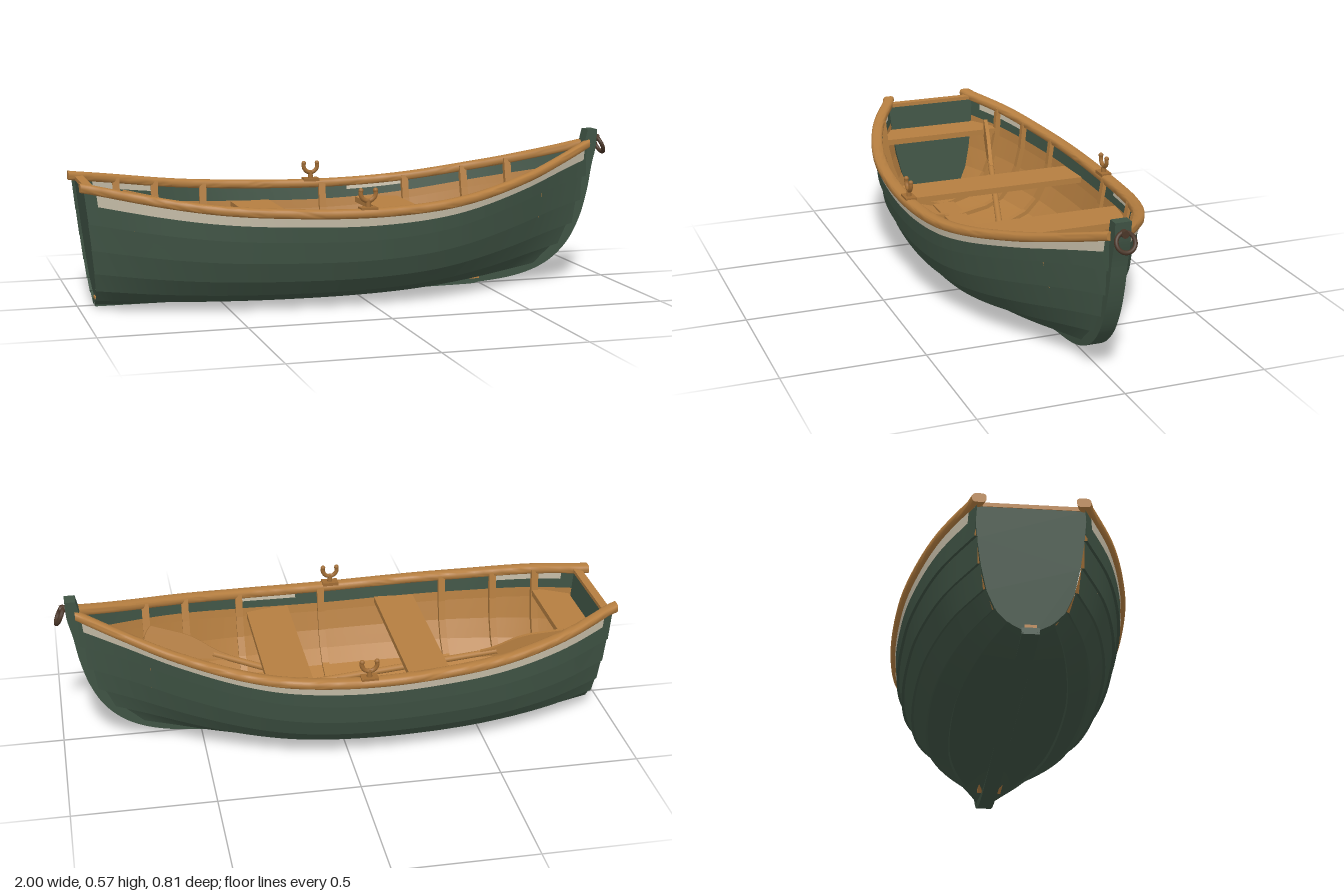
import * as THREE from 'three';
import { toCreasedNormals } from 'three/addons/utils/BufferGeometryUtils.js';

const mat = (name, color, side = THREE.FrontSide) => {
  const m = new THREE.MeshStandardMaterial({ color, side });
  m.name = name;
  return m;
};
const green = mat('green paint', 0x3f5344, THREE.DoubleSide);
const wood = mat('honey wood', 0xb57e40, THREE.DoubleSide);
const cream = mat('cream stripe', 0xc4bba6, THREE.DoubleSide);
const iron = mat('rusty iron', 0x4a3628);
const brass = mat('oarlock bronze', 0xa06c34);

const lerp = THREE.MathUtils.lerp;
const clamp = THREE.MathUtils.clamp;

// smooth curve through [x, value] pairs
function interp(table, x) {
  const n = table.length - 1;
  x = clamp(x, table[0][0], table[n][0]);
  let i = 0;
  while (i < n - 1 && x > table[i + 1][0]) i++;
  const slope = (j) => {
    const a = table[Math.max(0, j - 1)], b = table[Math.min(n, j + 1)];
    return (b[1] - a[1]) / (b[0] - a[0]);
  };
  const [x0, y0] = table[i], [x1, y1] = table[i + 1], h = x1 - x0, u = (x - x0) / h;
  const u2 = u * u, u3 = u2 * u;
  return (2 * u3 - 3 * u2 + 1) * y0 + (u3 - 2 * u2 + u) * h * slope(i)
    + (3 * u2 - 2 * u3) * y1 + (u3 - u2) * h * slope(i + 1);
}

// hull lines: plan width, sheer height, and cross-sections at the plank laps
const BEAM = [[-0.99, 0.17], [-0.8, 0.272], [-0.6, 0.338], [-0.4, 0.374], [-0.1, 0.388],
  [0.2, 0.365], [0.4, 0.312], [0.6, 0.222], [0.8, 0.1], [0.935, 0.016]];
const SHEER = [[-1, 0.455], [-0.6, 0.39], [-0.3, 0.367], [0, 0.36], [0.3, 0.379],
  [0.6, 0.435], [0.8, 0.488], [0.93, 0.528]];
const LAPS = 6;
const MID_Z = [0.06, 0.49, 0.69, 0.82, 0.91, 0.96, 1];
const STERN_Z = [0.1, 0.42, 0.65, 0.82, 0.93, 0.99, 1];
const BOW_Z = [0.12, 0.4, 0.55, 0.68, 0.8, 0.9, 1];
const FRAC_Y = [0.025, 0.085, 0.175, 0.32, 0.51, 0.72, 1];
const BOW_Y = [0.015, 0.07, 0.14, 0.215, 0.3, 0.39, 0.514];
const BOW_X = [0.5, 0.745, 0.83, 0.878, 0.905, 0.922, 0.935];
const sternX = (k) => -0.94 - 0.05 * FRAC_Y[k];

// point on lap k, t = 0 at the stern and 1 at the bow
function lap(t, k) {
  const xs = lerp(sternX(LAPS), BOW_X[LAPS], t);
  const top = interp(SHEER, xs) - 0.014;
  const b = clamp((t - 0.42) / 0.58, 0, 1) ** 2.6;
  const a = clamp(t / 0.35, 0, 1);
  const z = interp(BEAM, xs) * lerp(lerp(STERN_Z[k], MID_Z[k], a), BOW_Z[k], b);
  const y = k === LAPS ? top : lerp(top * FRAC_Y[k], BOW_Y[k], b);
  return new THREE.Vector3(lerp(sternX(k), BOW_X[k], t), y, z);
}

// section through the hull at a given x
function sectionAt(x) {
  const pts = [];
  for (let k = 0; k <= LAPS; k++) {
    const t = (x - sternX(k)) / (BOW_X[k] - sternX(k));
    if (t <= 1) pts.push(lap(Math.max(t, 0), k));
  }
  return pts;
}
function halfWidth(x, y) {
  const p = sectionAt(x);
  let i = 0;
  while (i < p.length - 2 && y > p[i + 1].y) i++;
  return lerp(p[i].z, p[i + 1].z, clamp((y - p[i].y) / (p[i + 1].y - p[i].y), 0, 1));
}

// grid surface from fn(u, v)
function surface(nu, nv, fn) {
  const pos = [], idx = [];
  for (let i = 0; i <= nu; i++) for (let j = 0; j <= nv; j++) pos.push(...fn(i / nu, j / nv).toArray());
  for (let i = 0; i < nu; i++) for (let j = 0; j < nv; j++) {
    const a = i * (nv + 1) + j, b = a + nv + 1;
    idx.push(a, b, a + 1, b, b + 1, a + 1);
  }
  const g = new THREE.BufferGeometry();
  g.setAttribute('position', new THREE.Float32BufferAttribute(pos, 3));
  g.setIndex(idx);
  g.computeVertexNormals();
  return g;
}

// plank k: v runs across it, off pushes it outward
function plankPoint(t, k, v, off, s) {
  const a = lap(t, k), b = lap(t, k + 1);
  const d = new THREE.Vector3(0, b.y - a.y, b.z - a.z).normalize();
  const p = a.lerp(b, v).add(new THREE.Vector3(0, -d.z, d.y).multiplyScalar(off));
  p.z *= s;
  return p;
}

// slab across the boat from [z, y] points
const crossSlab = (pts, depth) => new THREE.ExtrudeGeometry(
  new THREE.Shape(pts.map(([z, y]) => new THREE.Vector2(z, y))), { depth, bevelEnabled: false }).rotateY(Math.PI / 2);
const mirrored = (pts) => [...pts.map(([z, y]) => [-z, y]).reverse(), ...pts];

// slab along the centreline between two [x, y] edges
function spine(outer, inner, width) {
  const v = (list) => list.map(([x, y]) => new THREE.Vector2(x, y));
  const shape = new THREE.Shape().moveTo(...outer[0]);
  shape.splineThru(v(outer.slice(1)));
  shape.lineTo(...inner[0]);
  shape.splineThru(v(inner.slice(1)));
  const g = new THREE.ExtrudeGeometry(shape, { depth: width, bevelEnabled: false, curveSegments: 30 });
  return toCreasedNormals(g.translate(0, 0, -width / 2), 0.6);
}

export function createModel() {
  const boat = new THREE.Group();
  boat.name = 'rowing boat';
  const add = (name, geo, material, parent = boat) => {
    const m = new THREE.Mesh(geo, material);
    m.name = name;
    parent.add(m);
    return m;
  };

  for (const s of [1, -1]) {
    const side = s > 0 ? 'left' : 'right';
    // overlapping planks with a lip along each lower edge, bare wood inside below a painted top band
    const lining = (name, k, [v0, v1], material, [t0, t1] = [0.012, 1], off = -0.012) =>
      add(`${side}${name}`, surface(56, 2, (t, v) => plankPoint(lerp(t0, t1, t), k, lerp(v0, v1, v), off, s)), material);
    for (let k = 0; k < LAPS; k++) {
      add(`${side}Plank${k + 1}`, surface(56, 2, (t, v) => plankPoint(t, k, v, 0.01 * (1 - v), s)), green);
      add(`${side}PlankLip${k + 1}`, surface(56, 1, (t, v) => plankPoint(t, k, 0, lerp(-0.003, 0.01, v), s)), green);
      lining(`InnerPlank${k + 1}`, k, [k ? -0.06 : 0, k < LAPS - 1 ? 1.06 : 0.35], wood);
    }
    lining('InnerBand', LAPS - 1, [0.35, 1], green);
    // cream stripe outside, with short worn lengths inside
    add(`${side}Stripe`, surface(56, 1, (u, v) => {
      const w = lerp(0.54, 0.96, v);
      return plankPoint(lerp(0.02, 0.985, u), LAPS - 1, w, 0.01 * (1 - w) + 0.003, s);
    }), cream);
    for (const span of [[0.04, 0.16], [0.56, 0.68]]) lining('InnerStripe', LAPS - 1, [0.66, 0.86], cream, span, -0.015);
    // gunwale rail with closed ends
    const N = 60;
    const rail = surface(N, 16, (u, v) => {
      const i = Math.round(u * N), t = lerp(-0.006, 0.995, clamp((i - 1) / (N - 2), 0, 1));
      const r = i === 0 || i === N ? 0 : 1, a = v * Math.PI * 2;
      const round = (c) => Math.sign(c) * Math.abs(c) ** 0.6;
      const x = lerp(sternX(LAPS), BOW_X[LAPS], t);
      return new THREE.Vector3(x, interp(SHEER, x) - 0.015 + r * 0.016 * round(Math.sin(a)),
        s * (interp(BEAM, x) - 0.004 + r * 0.023 * round(Math.cos(a))));
    });
    add(`${side}Gunwale`, toCreasedNormals(rail, 0.9), wood);
    // oarlock: plate, pin and horns
    const lock = new THREE.Group();
    lock.name = `${side}Oarlock`;
    lock.position.set(-0.05, 0.36, s * 0.38);
    add('oarlockPlate', new THREE.BoxGeometry(0.06, 0.012, 0.04), brass, lock);
    add('oarlockPin', new THREE.CylinderGeometry(0.008, 0.01, 0.03, 10).translate(0, 0.018, 0), brass, lock);
    add('oarlockHorns', new THREE.TorusGeometry(0.027, 0.008, 8, 18, Math.PI * 1.2)
      .rotateZ(-Math.PI * 1.1).translate(0, 0.054, 0), brass, lock);
    for (const e of [1, -1]) add('oarlockTip', new THREE.SphereGeometry(0.009, 10, 8).translate(e * 0.026, 0.063, 0), brass, lock);
    boat.add(lock);
  }

  // keel and stem in one sweep, with a wooden keelson and apron inside
  const inner = [[0.92, 0.565], [0.905, 0.5], [0.895, 0.43], [0.88, 0.34], [0.85, 0.245], [0.8, 0.16],
    [0.73, 0.1], [0.63, 0.06], [0.48, 0.035], [0.3, 0.022], [-0.94, 0.022]];
  add('keelAndStem', spine([[-0.94, 0], [0.3, 0], [0.5, 0.008], [0.65, 0.028], [0.76, 0.07], [0.84, 0.14],
    [0.89, 0.23], [0.92, 0.33], [0.938, 0.43], [0.954, 0.5], [0.958, 0.565]], inner, 0.056), green);
  const low = inner.slice(2);
  add('apron', spine([...low].reverse(), low.map(([x, y]) => [x - (x > 0.4 ? 0.015 : 0), y + 0.01]), 0.038), wood);
  add('keelson', new THREE.BoxGeometry(1.4, 0.012, 0.09).translate(-0.215, 0.03, 0), wood);

  // raked transom set just inside the plank ends, with a wooden cap
  const end = sectionAt(-0.97).map((p) => [p.z - 0.002, Math.min(p.y, 0.425)]);
  const transom = crossSlab(mirrored(end), 0.022);
  const tp = transom.attributes.position;
  for (let i = 0; i < tp.count; i++) tp.setX(i, tp.getX(i) - 0.932 - 0.046 * tp.getY(i) / 0.44);
  transom.computeVertexNormals();
  add('transom', transom, green);
  add('transomCap', new THREE.BoxGeometry(0.03, 0.014, 0.33).translate(-0.963, 0.43, 0), wood);

  // steam-bent ribs
  for (const x of [-0.82, -0.67, -0.48, -0.01, 0.31, 0.52, 0.67]) {
    const p = sectionAt(x);
    const inset = (d) => p.map((q, i) => {
      const a = p[Math.max(0, i - 1)], b = p[Math.min(p.length - 1, i + 1)];
      const l = Math.hypot(b.z - a.z, b.y - a.y);
      return [Math.max(0.002, q.z - d * (b.y - a.y) / l), q.y + d * (b.z - a.z) / l];
    });
    const ring = [...mirrored(inset(0.006)), ...mirrored(inset(0.027)).reverse()];
    add('rib', crossSlab(ring, 0.026).translate(x - 0.013, 0, 0), wood);
  }

  // seats trimmed to the hull sides
  for (const [name, x0, x1, y] of [['sternSeat', -0.94, -0.81, 0.32], ['aftThwart', -0.37, -0.22, 0.28],
    ['foreThwart', 0.12, 0.28, 0.28]]) {
    const g = new THREE.BoxGeometry(x1 - x0, 0.022, 2, 4, 1, 1).translate((x0 + x1) / 2, y, 0);
    const p = g.attributes.position;
    for (let i = 0; i < p.count; i++) p.setZ(i, Math.sign(p.getZ(i)) * (halfWidth(p.getX(i), p.getY(i)) - 0.01));
    g.computeVertexNormals();
    add(name, g, wood);
  }

  // oars stowed under the thwarts, blades raised
  const blade = new THREE.Shape().moveTo(0, -0.012);
  blade.bezierCurveTo(0.09, -0.015, 0.1, -0.04, 0.19, -0.044);
  blade.lineTo(0.31, -0.04);
  blade.quadraticCurveTo(0.33, 0, 0.31, 0.04);
  blade.lineTo(0.19, 0.044);
  blade.bezierCurveTo(0.1, 0.04, 0.09, 0.015, 0, 0.012);
  for (const [name, grip, tip, roll] of [['sternOar', [0.18, 0.085, 0.09], [-0.82, 0.34, -0.19], 0],
    ['bowOar', [0.1, 0.12, 0.08], [0.68, 0.34, 0.112], 0.3]]) {
    const a = new THREE.Vector3(...grip), b = new THREE.Vector3(...tip), len = a.distanceTo(b);
    const oar = new THREE.Group();
    oar.name = name;
    oar.position.copy(a);
    oar.lookAt(b);
    add('oarShaft', new THREE.CylinderGeometry(0.011, 0.013, len - 0.26, 12)
      .rotateX(Math.PI / 2).translate(0, 0, (len - 0.26) / 2), wood, oar);
    add('oarBlade', new THREE.ExtrudeGeometry(blade, { depth: 0.014, bevelEnabled: false })
      .translate(0, 0, -0.007).rotateY(-Math.PI / 2).rotateZ(roll).translate(0, 0, len - 0.32), wood, oar);
    boat.add(oar);
  }

  // mooring ring on the stem
  add('ringBolt', new THREE.CylinderGeometry(0.013, 0.013, 0.03, 12).rotateZ(Math.PI / 2).translate(0.962, 0.53, 0), iron);
  add('mooringRing', new THREE.TorusGeometry(0.032, 0.0075, 10, 28).rotateY(Math.PI / 2)
    .rotateZ(0.45).translate(0.978, 0.505, 0), iron);
  return boat;
}
